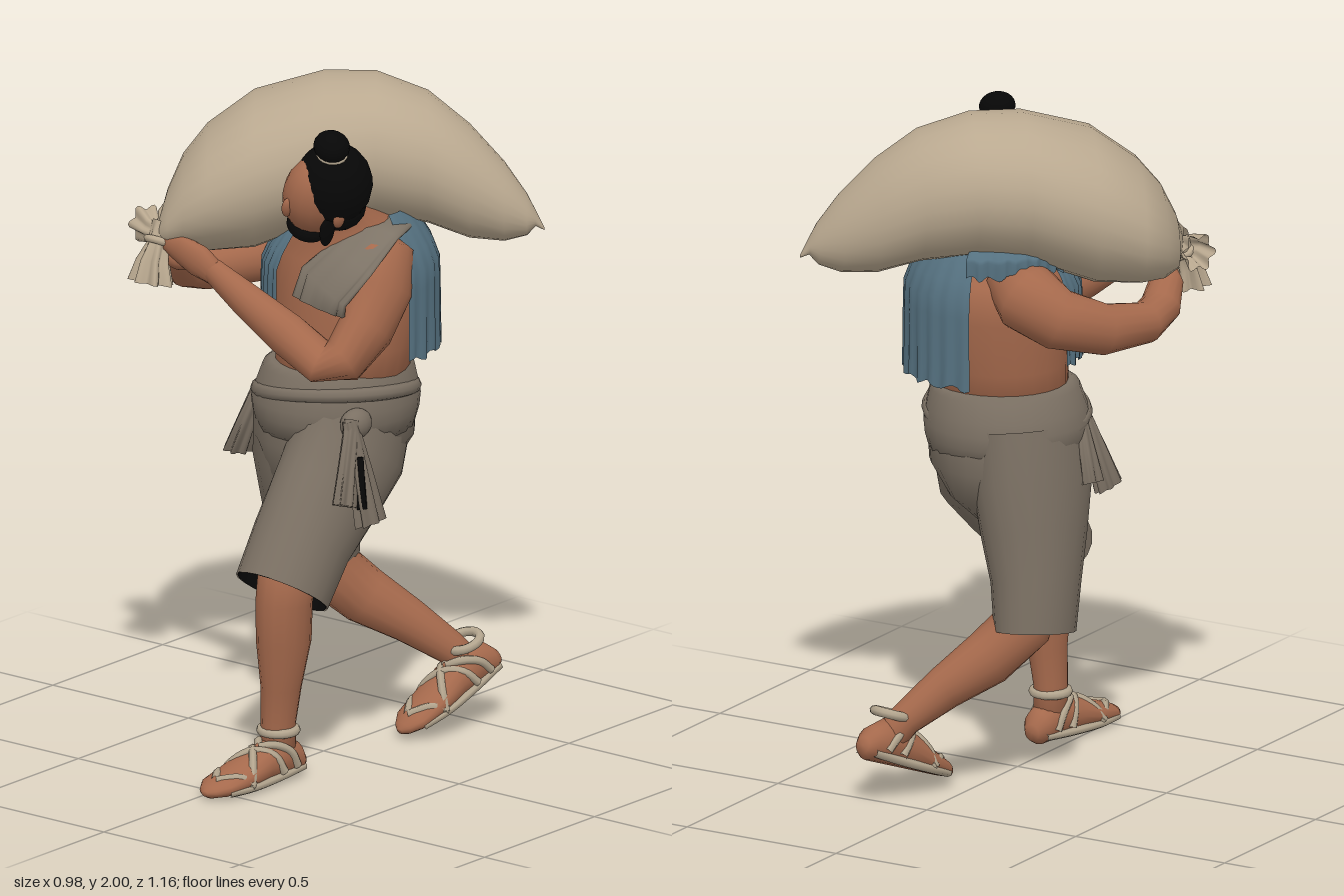
import * as THREE from 'three';

const V = (x, y, z) => new THREE.Vector3(x, y, z);
const paint = (name, color, side = THREE.FrontSide) =>
  Object.assign(new THREE.MeshStandardMaterial({ color, side }), { name });

// Skin a row of elliptical sections [x, y, z, radiusA, radiusB, fold depth].
// ref is the direction of radiusA; axis fixes the section plane if given.
function loft(sections, { ref = V(1, 0, 0), axis = null, sides = 16, folds = 8, caps = true } = {}) {
  const pos = [], idx = [], n = sections.length;
  const centres = sections.map(s => V(s[0], s[1], s[2]));
  sections.forEach(([, , , a, b, fold = 0], i) => {
    const t = axis ? axis.clone() : centres[Math.min(i + 1, n - 1)].clone().sub(centres[Math.max(i - 1, 0)]);
    t.normalize();
    const u = ref.clone().addScaledVector(t, -ref.dot(t)).normalize();
    const v = t.clone().cross(u);
    for (let j = 0; j < sides; j++) {
      const q = j / sides * Math.PI * 2, k = 1 + fold * Math.cos(folds * q);
      pos.push(...centres[i].clone().addScaledVector(u, a * k * Math.cos(q)).addScaledVector(v, b * k * Math.sin(q)).toArray());
    }
  });
  for (let i = 0; i < n - 1; i++) for (let j = 0; j < sides; j++) {
    const a = i * sides + j, b = i * sides + (j + 1) % sides;
    idx.push(a, b, b + sides, a, b + sides, a + sides);
  }
  if (caps) [0, n - 1].forEach(i => {
    const c = pos.length / 3;
    pos.push(...centres[i].toArray());
    for (let j = 0; j < sides; j++) {
      const a = i * sides + j, b = i * sides + (j + 1) % sides;
      idx.push(c, ...(i ? [a, b] : [b, a]));
    }
  });
  const g = new THREE.BufferGeometry();
  g.setAttribute('position', new THREE.Float32BufferAttribute(pos, 3));
  g.setIndex(idx);
  g.computeVertexNormals();
  return g;
}

// Pleated cloth wrapped around the chest between two angles (degrees)
function wrap(from, to, bottom, top) {
  const g = new THREE.PlaneGeometry(1, 1, 40, 8), p = g.attributes.position;
  for (let i = 0; i < p.count; i++) {
    const u = p.getX(i) + 0.5, v = p.getY(i) + 0.5;
    const q = THREE.MathUtils.degToRad(from + (to - from) * u);
    const pleat = Math.sin(u * 60) * 0.006 * (1 - v);
    const r = 0.255 - 0.09 * Math.max(0, (v - 0.6) / 0.4) ** 1.5 + pleat;
    const hem = Math.sin(u * 37) * 0.008 * (1 - v);
    p.setXYZ(i, 0.035 + r * Math.cos(q), bottom + (top - bottom) * v + hem, -0.08 + r * Math.sin(q));
  }
  g.computeVertexNormals();
  return g;
}

export function createModel() {
  const model = new THREE.Group();
  model.name = 'porter';
  const skin = paint('skin', 0xa5694c), canvas = paint('canvas', 0xbaa990, THREE.DoubleSide);
  const cloth = paint('brownCloth', 0x7b7063, THREE.DoubleSide), towelMat = paint('greyCloth', 0x7e7467, THREE.DoubleSide);
  const blue = paint('blueCloth', 0x557180, THREE.DoubleSide);
  const hair = paint('hair', 0x070707, THREE.DoubleSide), straw = paint('straw', 0xb3a58e);
  const add = (name, geo, mat, parent = model) => {
    const m = new THREE.Mesh(geo, mat);
    m.name = name;
    parent.add(m);
    return m;
  };
  const ball = (name, mat, parent, [x, y, z], [a, b, c]) => {
    const m = add(name, new THREE.SphereGeometry(1, 18, 12), mat, parent);
    m.position.set(x, y, z);
    m.scale.set(a, b, c);
    return m;
  };
  const up = V(0, 1, 0), zAxis = V(0, 0, 1);

  // Sack: [along, across, half width, centre height, half height], draped over the shoulders
  const sack = [
    [-0.475, -0.005, 0.03, 1.56, 0.03], [-0.45, -0.06, 0.12, 1.585, 0.08], [-0.405, -0.095, 0.18, 1.625, 0.135],
    [-0.335, -0.108, 0.23, 1.665, 0.18], [-0.2, -0.112, 0.255, 1.72, 0.225], [0, -0.122, 0.245, 1.785, 0.215],
    [0.15, -0.12, 0.23, 1.795, 0.205], [0.3, -0.1, 0.195, 1.76, 0.19], [0.42, -0.075, 0.15, 1.695, 0.165],
    [0.52, -0.055, 0.105, 1.64, 0.115], [0.585, -0.04, 0.06, 1.605, 0.06], [0.61, -0.035, 0.03, 1.595, 0.022],
    [0.635, -0.03, 0.004, 1.565, 0.004],
  ].map(([s, t, w, y, h]) => [0.78 * s + 0.62 * t, y, -0.62 * s + 0.78 * t, w, h]);
  add('sack', loft(sack, { ref: V(0.62, 0, 0.78), axis: V(0.78, 0, -0.62), sides: 24 }), canvas);

  // Gathered neck of the sack with flared ends and a cord
  add('sackTuft', loft([[-0.36, 1.58, 0.27, 0.045, 0.04], [-0.365, 1.53, 0.3, 0.03, 0.03, 0.1],
    [-0.365, 1.48, 0.325, 0.045, 0.035, 0.25], [-0.365, 1.42, 0.335, 0.06, 0.042, 0.3]],
  { sides: 48, folds: 7, caps: false }), canvas);
  add('sackSideTuft', loft([[-0.37, 1.55, 0.28, 0.025, 0.03], [-0.41, 1.555, 0.275, 0.03, 0.035, 0.15],
    [-0.465, 1.555, 0.235, 0.045, 0.05, 0.2]], { ref: zAxis, sides: 40, folds: 6, caps: false }), canvas);
  const cord = add('sackCord', new THREE.TorusGeometry(0.035, 0.011, 8, 16), canvas);
  cord.position.set(-0.365, 1.535, 0.3);
  cord.rotation.x = 1.1;
  for (let i = 0; i < 6; i++) {
    const q = 0.2 + i * 0.36, c = Math.cos(q), s = Math.sin(q);
    add('sackPleat', loft([[-0.37, 1.56, 0.282, 0.012, 0.012], [-0.365 + 0.05 * c, 1.57 + 0.045 * s, 0.268 + 0.015 * c, 0.011, 0.011],
      [-0.345 + 0.09 * c, 1.58 + 0.09 * s, 0.23 + 0.04 * c, 0.003, 0.003]], { ref: zAxis, sides: 6 }), canvas);
  }

  // Torso and neck
  add('torso', loft([[0.02, 1.08, -0.05, 0.19, 0.18], [0.03, 1.24, -0.06, 0.205, 0.195], [0.035, 1.4, -0.08, 0.225, 0.215],
    [0.035, 1.51, -0.08, 0.21, 0.2], [0.06, 1.6, -0.04, 0.14, 0.14], [0.09, 1.66, 0.04, 0.07, 0.08],
    [0.11, 1.75, 0.1, 0.06, 0.06]], { axis: up, sides: 24 }), skin);

  // Arms, both reaching to the neck of the sack
  add('leftArm', loft([[0.14, 1.55, -0.02, 0.07, 0.07], [0.2, 1.52, 0, 0.11, 0.1], [0.228, 1.44, 0.03, 0.108, 0.085],
    [0.235, 1.34, 0.1, 0.09, 0.075], [0.22, 1.265, 0.185, 0.075, 0.07], [0.165, 1.255, 0.215, 0.072, 0.06],
    [0.06, 1.325, 0.24, 0.06, 0.065], [-0.08, 1.41, 0.26, 0.048, 0.05], [-0.19, 1.48, 0.275, 0.032, 0.036]], { ref: zAxis }), skin);
  add('rightArm', loft([[-0.08, 1.53, -0.17, 0.07, 0.08], [-0.165, 1.49, -0.215, 0.105, 0.1], [-0.265, 1.44, -0.21, 0.09, 0.085],
    [-0.35, 1.395, -0.1, 0.075, 0.07], [-0.4, 1.385, 0.05, 0.06, 0.06], [-0.395, 1.41, 0.14, 0.055, 0.06],
    [-0.37, 1.46, 0.21, 0.045, 0.05], [-0.33, 1.5, 0.26, 0.03, 0.03]], { ref: up }), skin);
  add('leftHand', loft([[-0.17, 1.465, 0.273, 0.03, 0.035], [-0.23, 1.5, 0.285, 0.03, 0.05], [-0.29, 1.53, 0.298, 0.024, 0.042],
    [-0.335, 1.54, 0.308, 0.012, 0.022]], { ref: zAxis }), skin);
  ball('rightHand', skin, model, [-0.31, 1.49, 0.27], [0.05, 0.035, 0.04]);

  // Head, leaning away from the load
  const head = new THREE.Group();
  head.name = 'head';
  head.position.set(0.115, 1.74, 0.14);
  head.rotation.set(0.12, -0.36, -0.36, 'YXZ');
  model.add(head);
  ball('skull', skin, head, [-0.004, -0.005, 0.02], [0.094, 0.125, 0.102]);
  ball('hairCap', hair, head, [0.012, 0.034, -0.022], [0.115, 0.122, 0.112]);
  ball('napeHair', hair, head, [0.015, -0.035, -0.035], [0.095, 0.08, 0.085]);
  ball('beard', hair, head, [0, -0.108, 0.045], [0.068, 0.036, 0.058]);
  ball('nose', skin, head, [-0.004, -0.02, 0.118], [0.015, 0.032, 0.018]);
  ball('bun', hair, head, [0.022, 0.185, 0.005], [0.055, 0.042, 0.052]);
  const tie = add('bunTie', new THREE.TorusGeometry(0.04, 0.006, 8, 16), straw, head);
  tie.position.set(0.02, 0.152, 0.0);
  tie.rotation.x = Math.PI / 2;
  for (const s of [-1, 1]) {
    ball('ear', skin, head, [s * 0.104, -0.025, 0.01], [0.012, 0.028, 0.018]);
    ball('sideburn', hair, head, [s * 0.08, -0.07, 0.03], [0.014, 0.06, 0.024]);
  }

  // Blue back cloth, its collar and front panel, and the towel on the left shoulder
  add('backCloth', wrap(10, -106, 1.22, 1.64), blue);
  add('collar', wrap(-104, -175, 1.555, 1.645), blue);
  add('frontPanel', wrap(182, 108, 1.26, 1.61), blue);
  add('shoulderTowel', loft([[0.115, 1.4, 0.165, 0.09, 0.024, 0.12], [0.125, 1.46, 0.152, 0.095, 0.026, 0.08],
    [0.185, 1.54, 0.105, 0.095, 0.026, 0.05], [0.19, 1.595, 0.02, 0.09, 0.024], [0.15, 1.595, -0.1, 0.08, 0.022]],
  { sides: 40, folds: 9 }), towelMat);

  // Breeches: seat and two open legs, dark inside
  add('seat', loft([[0.01, 1.16, -0.055, 0.205, 0.215], [0, 1.05, -0.06, 0.225, 0.235], [-0.01, 0.95, -0.06, 0.23, 0.235],
    [-0.015, 0.85, -0.055, 0.17, 0.2], [-0.025, 0.74, -0.03, 0.07, 0.11]], { axis: up.clone().negate(), sides: 24 }), cloth);
  const legs = {
    left: [[0.075, 1.06, -0.05, 0.145, 0.21], [0.085, 0.92, 0, 0.145, 0.21], [0.088, 0.82, 0.1, 0.142, 0.185],
      [0.085, 0.7, 0.205, 0.14, 0.155], [0.085, 0.57, 0.295, 0.14, 0.142]],
    right: [[-0.08, 1.06, -0.065, 0.145, 0.225], [-0.1, 0.9, -0.085, 0.155, 0.215], [-0.125, 0.75, -0.115, 0.142, 0.18],
      [-0.15, 0.62, -0.145, 0.122, 0.152], [-0.162, 0.48, -0.17, 0.112, 0.135]],
  };
  for (const [side, rows] of Object.entries(legs)) {
    add(side + 'BreechesLeg', loft(rows, { sides: 20, caps: false }), cloth);
    const dark = rows.slice(3).map(r => [...r.slice(0, 3), r[3] * 0.97, r[4] * 0.97]);
    add(side + 'Lining', loft(dark, { sides: 20, caps: false }), hair);
  }

  // Sash with hanging ends
  add('sash', loft([[0.015, 1.18, -0.055, 0.195, 0.205], [0.01, 1.165, -0.055, 0.212, 0.225], [0.005, 1.11, -0.055, 0.228, 0.24],
    [0, 1.07, -0.055, 0.24, 0.25], [0, 1.03, -0.055, 0.236, 0.246], [0, 0.98, -0.055, 0.222, 0.232]],
  { axis: up.clone().negate(), sides: 28 }), cloth);
  const fold = add('sashFold', new THREE.TorusGeometry(0.224, 0.022, 8, 32), cloth);
  fold.position.set(0.005, 1.09, -0.05);
  fold.rotation.set(Math.PI / 2 - 0.12, 0.12, 0);
  ball('sashKnot', cloth, model, [0.2, 1.05, 0.1], [0.04, 0.045, 0.055]);
  [[0.21, 0.14, 0.27, 0.77, 0.12, 0.052], [0.21, 0.13, 0.25, 0.84, 0.215, 0.038],
    [-0.21, 0.03, -0.27, 0.87, 0.06, 0.05], [-0.21, 0, -0.26, 0.9, -0.02, 0.045]].forEach(([x, z, x2, y2, z2, w]) =>
    add('sashEnd', loft([[x, 1.07, z, 0.02, 0.025], [(x + x2) / 2, (1.07 + y2) / 2, (z + z2) / 2, 0.022, w * 0.8, 0.15],
      [x2, y2, z2, 0.025, w, 0.25]], { sides: 36, folds: 7 }), cloth));
  add('sashEndGap', loft([[0.245, 0.97, 0.145, 0.02, 0.008], [0.265, 0.82, 0.155, 0.018, 0.016]], { sides: 8 }), hair);

  // Lower legs
  add('leftShin', loft([[0.088, 0.66, 0.27, 0.08, 0.09], [0.085, 0.54, 0.285, 0.077, 0.09], [0.08, 0.42, 0.28, 0.074, 0.088],
    [0.07, 0.28, 0.28, 0.056, 0.064], [0.06, 0.17, 0.28, 0.048, 0.055], [0.06, 0.08, 0.28, 0.048, 0.055]]), skin);
  add('rightShin', loft([[-0.14, 0.62, -0.13, 0.085, 0.09], [-0.12, 0.49, -0.17, 0.085, 0.095], [-0.05, 0.4, -0.25, 0.08, 0.085],
    [0.04, 0.32, -0.34, 0.062, 0.066], [0.12, 0.235, -0.425, 0.048, 0.05], [0.155, 0.17, -0.475, 0.048, 0.05]]), skin);

  // Feet with straw sandal straps
  const feet = [['leftFoot', [0.06, 0.003, 0.28], [0, -0.1]], ['rightFoot', [0.16, 0.118, -0.5], [0.36, -0.2]]];
  for (const [name, at, [pitch, yaw]] of feet) {
    const foot = new THREE.Group();
    foot.name = name;
    foot.position.set(...at);
    foot.rotation.set(pitch, yaw, 0, 'YXZ');
    model.add(foot);
    add('footBody', loft([[0, 0.04, -0.09, 0.025, 0.025], [0, 0.05, -0.065, 0.046, 0.05], [0, 0.068, 0, 0.054, 0.068],
      [0, 0.058, 0.08, 0.06, 0.058], [0, 0.04, 0.17, 0.07, 0.04], [0, 0.027, 0.25, 0.062, 0.027],
      [0, 0.02, 0.285, 0.035, 0.018], [0, 0.018, 0.3, 0.012, 0.008]], { axis: zAxis }), skin, foot);
    const strap = pts => add('strap', new THREE.TubeGeometry(new THREE.CatmullRomCurve3(pts.map(p => V(...p))), 16, 0.013, 6), straw, foot);
    for (const s of [-1, 1]) {
      strap([[s * 0.056, 0.035, 0.03], [s * 0.043, 0.088, 0.06], [0, 0.104, 0.105], [-s * 0.046, 0.066, 0.15], [-s * 0.064, 0.025, 0.17]]);
      strap([[s * 0.048, 0.04, -0.03], [s * 0.048, 0.09, 0.0], [s * 0.03, 0.116, 0.05], [0, 0.11, 0.08]]);
      strap([[s * 0.064, 0.025, 0.16], [s * 0.043, 0.053, 0.2], [0, 0.049, 0.255]]);
      strap([[s * 0.034, 0.028, -0.07], [s * 0.048, 0.021, 0.04], [s * 0.059, 0.018, 0.16], [s * 0.049, 0.017, 0.25]]);
    }
    const band = add('ankleBand', new THREE.TorusGeometry(0.05, 0.014, 8, 20), straw, foot);
    band.position.set(0, 0.145, 0);
    band.rotation.x = Math.PI / 2;
  }
  return model;
}
